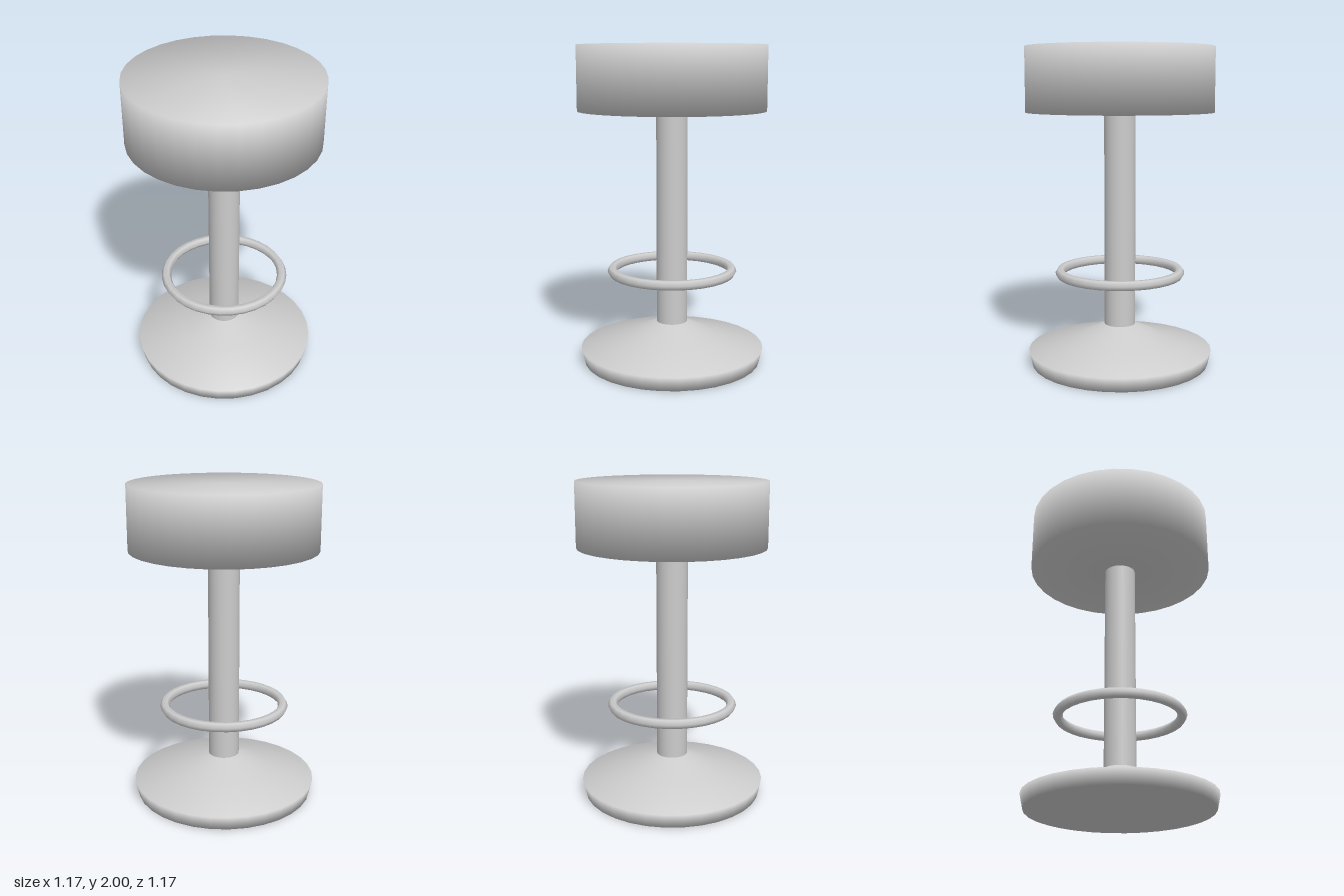
import * as THREE from 'three';

const SIDES = 32;

export function createModel() {
  const stool = new THREE.Group();
  stool.name = 'barStool';
  const grey = new THREE.MeshStandardMaterial({ color: 0xcccccc });
  grey.name = 'lightGrey';

  const add = (name, geometry) => {
    const mesh = new THREE.Mesh(geometry, grey);
    mesh.name = name;
    stool.add(mesh);
    return mesh;
  };

  // Smooth turned part from [radius, height] pairs, bottom to top
  const turned = (profile) =>
    new THREE.LatheGeometry(profile.map(([r, y]) => new THREE.Vector2(r, y)), SIDES);

  // Flared foot with a closed underside
  add('base', turned([[0, 0], [0.565, 0], [0.585, 0.09], [0.29, 0.16], [0.1, 0.25], [0, 0.25]]));

  // Column from the foot up to the seat
  add('post', new THREE.CylinderGeometry(0.098, 0.098, 1.4, SIDES, 1, true)).position.y = 0.91;

  // Floating foot ring with a hexagonal section
  const ring = add('footRing', new THREE.TorusGeometry(0.38, 0.031, 6, SIDES));
  ring.rotation.x = Math.PI / 2;
  ring.position.y = 0.588;

  // Thick round seat, shaded smoothly over its rims
  add('seat', turned([[0, 1.6], [0.585, 1.6], [0.585, 2], [0, 2]]));

  return stool;
}
